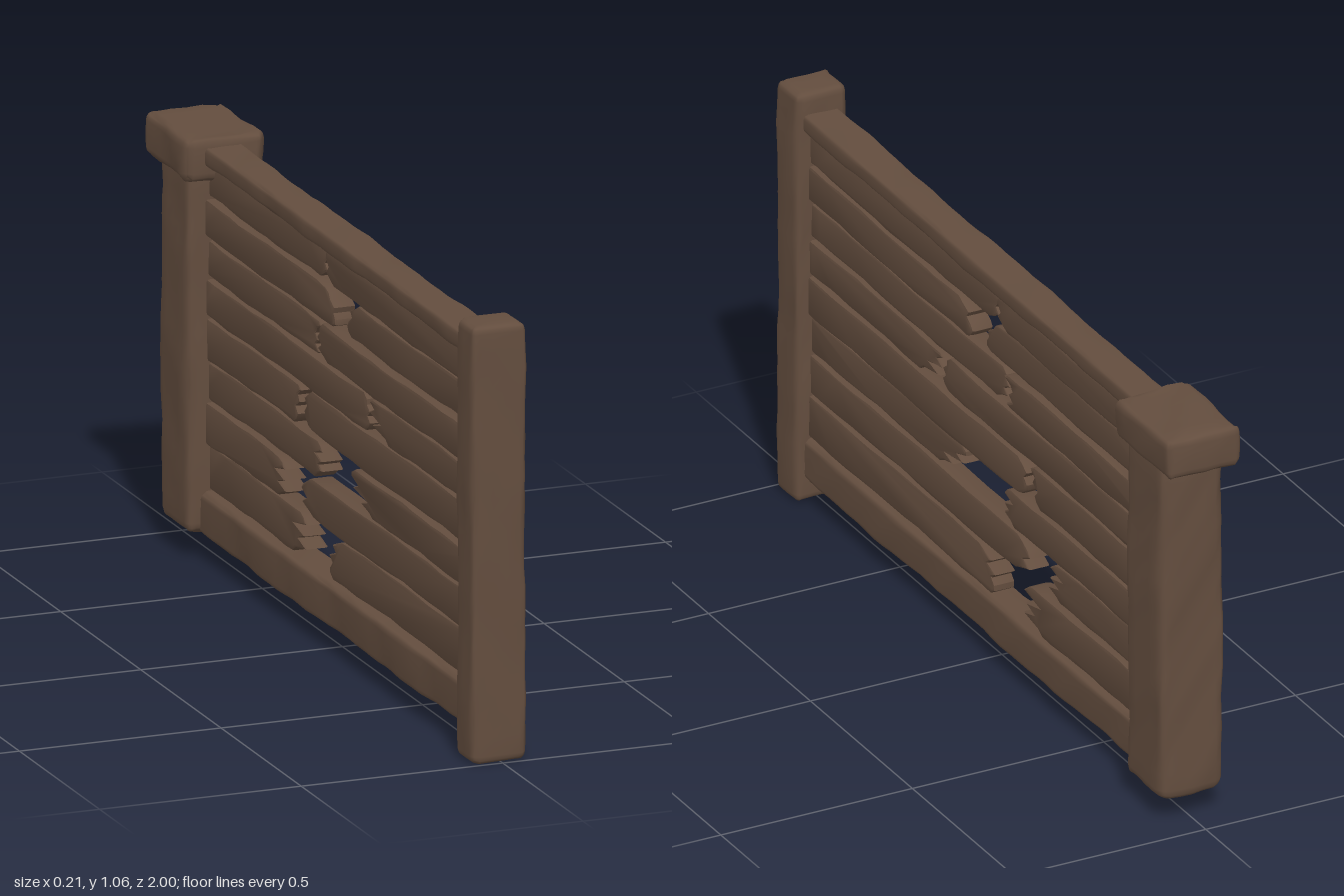
import * as THREE from 'three';
import { mergeVertices, toCreasedNormals } from 'three/addons/utils/BufferGeometryUtils.js';

// Smooth repeatable wobble in the range -1..1
const wave = (t, s) => 0.5 * Math.sin(t * 9 + s * 2.3) + 0.3 * Math.sin(t * 23 + s * 5.1) + 0.2 * Math.sin(t * 47 + s * 1.7);

// Rounded, hand-hewn beam between two corners
function hewnBeam(min, max, r, rough, seed) {
  const size = min.map((v, i) => max[i] - v);
  const segs = size.map((s) => 4 + Math.max(2, Math.round(s / 0.045)));
  const geo = new THREE.BoxGeometry(1, 1, 1, ...segs);
  geo.deleteAttribute('normal');
  geo.deleteAttribute('uv');
  const pos = geo.attributes.position;
  const p = new THREE.Vector3(), core = new THREE.Vector3(), d = new THREE.Vector3();
  for (let i = 0; i < pos.count; i++) {
    const c = [pos.getX(i), pos.getY(i), pos.getZ(i)].map((v, a) => {
      const n = segs[a], k = Math.round((v + 0.5) * n), h = size[a] / 2;
      const edge = [0, r * 0.4, r];
      if (k < 2) return -h + edge[k];
      if (k > n - 2) return h - edge[n - k];
      return -h + r + ((k - 2) / (n - 4)) * (size[a] - 2 * r);
    });
    p.set(...c);
    core.set(...c.map((v, a) => THREE.MathUtils.clamp(v, r - size[a] / 2, size[a] / 2 - r)));
    d.subVectors(p, core).normalize();
    p.copy(core).addScaledVector(d, r);
    // worn faces: push along the outward direction
    const w = wave(p.x * 1.5 + p.y + p.z * 0.9, seed + Math.sign(d.x) + 2 * Math.sign(d.z));
    p.addScaledVector(d, rough * (w - 0.2));
    pos.setXYZ(i, p.x + (min[0] + max[0]) / 2, p.y + (min[1] + max[1]) / 2, p.z + (min[2] + max[2]) / 2);
  }
  const smooth = mergeVertices(geo, 1e-5);
  smooth.computeVertexNormals();
  return smooth;
}

// Plank running from a post (zPost) to a splintered end given by z values from bottom to top
function brokenPlank(y0, y1, zPost, ends, x, thick, seed) {
  const dir = Math.sign(ends[0] - zPost), n = 14, bevel = 0.006;
  const shape = new THREE.Shape();
  const edgeY = (z, y, s) => y + 0.005 * wave(z, s);
  shape.moveTo(zPost, y0);
  const last = ends.length - 1;
  for (let i = 1; i < n; i++) {
    const z = THREE.MathUtils.lerp(zPost, ends[0] - dir * 0.02, i / (n - 1));
    shape.lineTo(z, edgeY(z, y0, seed));
  }
  ends.forEach((z, i) => shape.lineTo(z, THREE.MathUtils.lerp(y0 + 0.01, y1 - 0.01, i / last)));
  for (let i = n - 1; i > 0; i--) {
    const z = THREE.MathUtils.lerp(zPost, ends[last] - dir * 0.02, i / (n - 1));
    shape.lineTo(z, edgeY(z, y1, seed + 3));
  }
  shape.lineTo(zPost, y1);
  const geo = new THREE.ExtrudeGeometry(shape, {
    depth: thick - 2 * bevel, bevelEnabled: true, bevelThickness: bevel,
    bevelSize: bevel, bevelOffset: -bevel, bevelSegments: 2,
  });
  geo.translate(0, 0, -(thick / 2 - bevel));
  geo.rotateY(-Math.PI / 2);
  geo.translate(x, 0, 0);
  return toCreasedNormals(geo, 0.7);
}

export function createModel() {
  const model = new THREE.Group();
  model.name = 'brokenPlankFence';
  const wood = new THREE.MeshStandardMaterial({ color: 0x634d3e });
  wood.name = 'weatheredWood';
  const add = (name, geo, parent = model) => {
    const mesh = new THREE.Mesh(geo, wood);
    mesh.name = name;
    parent.add(mesh);
    return mesh;
  };

  // Posts and the cap on the thick one
  add('frontPost', hewnBeam([-0.076, 0, 0.892], [0.062, 1.055, 1], 0.02, 0.004, 1));
  add('backPost', hewnBeam([-0.083, 0.06, -0.945], [0.088, 0.95, -0.762], 0.028, 0.005, 2));
  const cap = hewnBeam([-0.1, 0.918, -1], [0.1, 1.024, -0.73], 0.022, 0.007, 4);
  const cp = cap.attributes.position;
  for (let i = 0; i < cp.count; i++) { // skewed sides
    cp.setX(i, cp.getX(i) + 0.04 * (cp.getY(i) - 0.97));
  }
  cap.computeVertexNormals();
  add('postCap', cap);

  // Whole rails along the top and bottom
  add('topRail', hewnBeam([-0.05, 0.957, -0.8], [0.044, 1.003, 0.93], 0.012, 0.004, 5));
  add('bottomRail', hewnBeam([-0.05, 0.058, -0.8], [0.044, 0.163, 0.93], 0.016, 0.005, 6));

  // Splintered planks: y range, end of the front half, end of the back half
  const rows = [
    [0.872, 0.955, [0.0, -0.03, -0.015, -0.03, -0.03], [-0.06, -0.03, -0.045, -0.03, -0.03]],
    [0.778, 0.866, [0.1, 0.09, 0.1, 0.12, 0.11, 0.14], [0.04, 0.04, 0.03, 0.035, 0.01, 0.0]],
    [0.681, 0.767, [-0.03, -0.07, -0.05, -0.075, -0.06, -0.06], [-0.07, -0.1, -0.08, -0.1, -0.09, -0.06]],
    [0.587, 0.674, [0.34, 0.26, 0.31, 0.24, 0.27, 0.24], [0.24, 0.25, 0.235, 0.25, 0.23, 0.23]],
    [0.482, 0.58, [-0.15, -0.17, -0.175, -0.16, -0.175, -0.15], [-0.21, -0.2, -0.215, -0.19, -0.2, -0.18]],
    [0.385, 0.476, [0.25, 0.2, 0.24, 0.15, 0.18, 0.14, 0.14], [-0.09, -0.06, -0.08, -0.06, -0.1, -0.06, -0.07]],
    [0.28, 0.377, [-0.13, -0.18, -0.15, -0.185, -0.17, -0.14], [-0.3, -0.26, -0.31, -0.27, -0.33, -0.27, -0.29]],
    [0.167, 0.274, [-0.015, -0.015, 0.0, -0.02, 0.02, 0.0, 0.04], [-0.23, -0.16, -0.21, -0.17, -0.24, -0.16, -0.18]],
  ];
  const planks = new THREE.Group();
  planks.name = 'planks';
  model.add(planks);
  rows.forEach(([y0, y1, front, back], i) => {
    add('frontPlank', brokenPlank(y0, y1, 0.93, front, -0.003 + 0.005 * Math.sin(i * 2.1), 0.056, i * 3), planks);
    add('backPlank', brokenPlank(y0, y1, -0.8, back, -0.003 + 0.005 * Math.cos(i * 2.7), 0.056, i * 3 + 1), planks);
  });
  return model;
}
